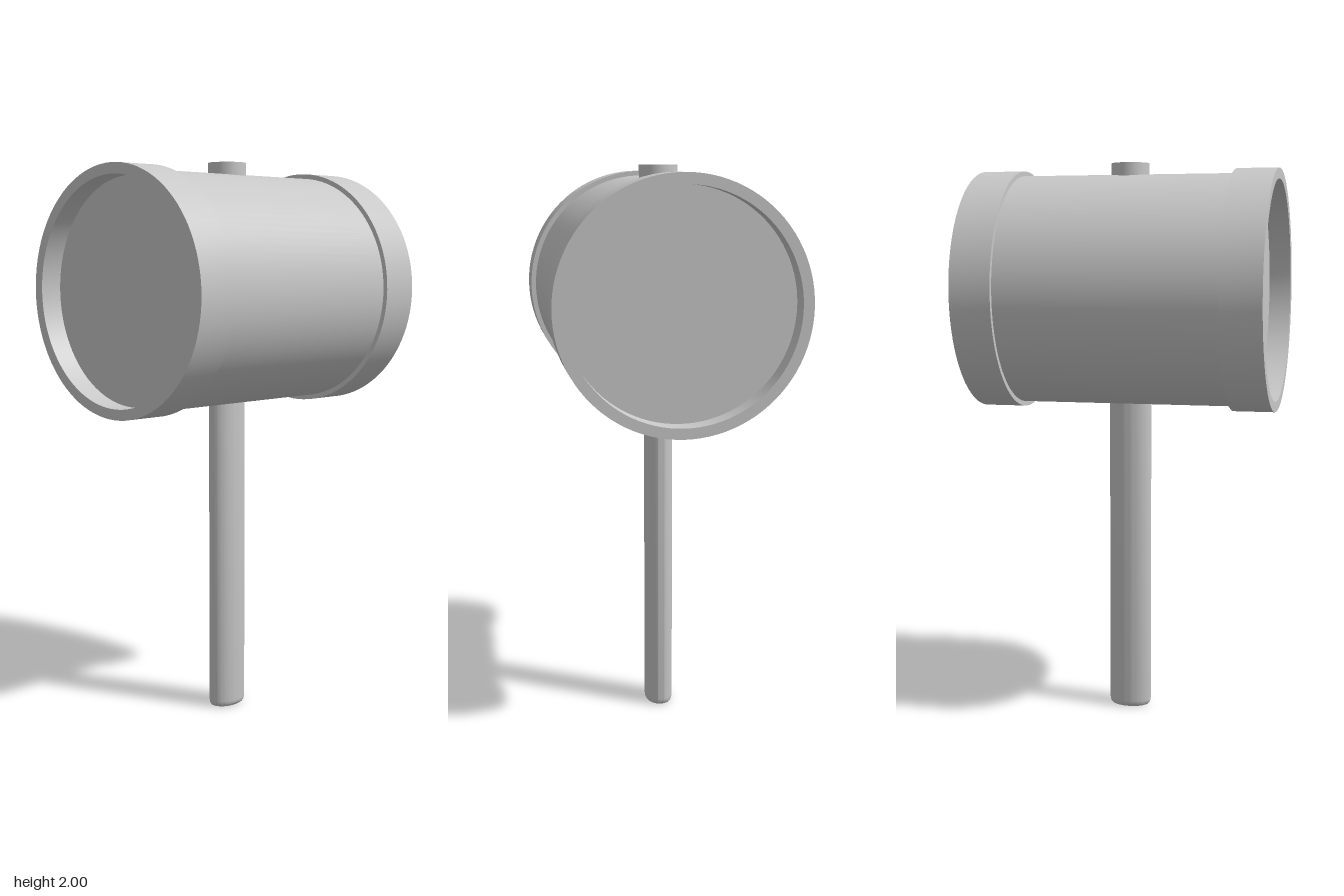
import * as THREE from 'three';
import { toCreasedNormals } from 'three/addons/utils/BufferGeometryUtils.js';

const HEAD_Y = 1.55;

// Revolved profile with sharp edges kept
function lathe(points, segments = 96, scale = [1, 1, 1]) {
  const g = new THREE.LatheGeometry(points.map(([x, y]) => new THREE.Vector2(x, y)), segments);
  g.scale(...scale);
  return toCreasedNormals(g, 0.6);
}

export function createModel() {
  const model = new THREE.Group();
  model.name = 'mallet';
  const grey = new THREE.MeshStandardMaterial({ color: 0xc8c8c8 });
  grey.name = 'light grey';

  const add = (name, geometry, parent = model) => {
    const mesh = new THREE.Mesh(geometry, grey);
    mesh.name = name;
    parent.add(mesh);
    return mesh;
  };

  // Head: barrel along z with a recessed collar at each end
  const head = new THREE.Group();
  head.name = 'head';
  head.position.y = HEAD_Y;
  model.add(head);

  const barrel = new THREE.CylinderGeometry(0.41, 0.41, 0.8, 96, 1, true);
  barrel.rotateX(Math.PI / 2);
  add('barrel', barrel, head);

  const collar = lathe([
    [0.405, 0.388], [0.427, 0.388], [0.427, 0.535],
    [0.39, 0.535], [0.39, 0.455], [0, 0.455],
  ]);
  collar.rotateX(Math.PI / 2);
  add('frontCollar', collar, head);
  add('backCollar', collar, head).rotation.y = Math.PI;

  // Oval handle with a softened lower edge
  add('handle', lathe([
    [0, 0], [0.8, 0], [0.9, 0.003], [0.97, 0.01], [1, 0.022], [1, 1.2],
  ], 64, [0.051, 1, 0.077]));

  // Round peg showing through the top of the head
  const peg = new THREE.CylinderGeometry(0.068, 0.068, 0.1, 48);
  add('topPeg', peg).position.y = 1.95;

  return model;
}
